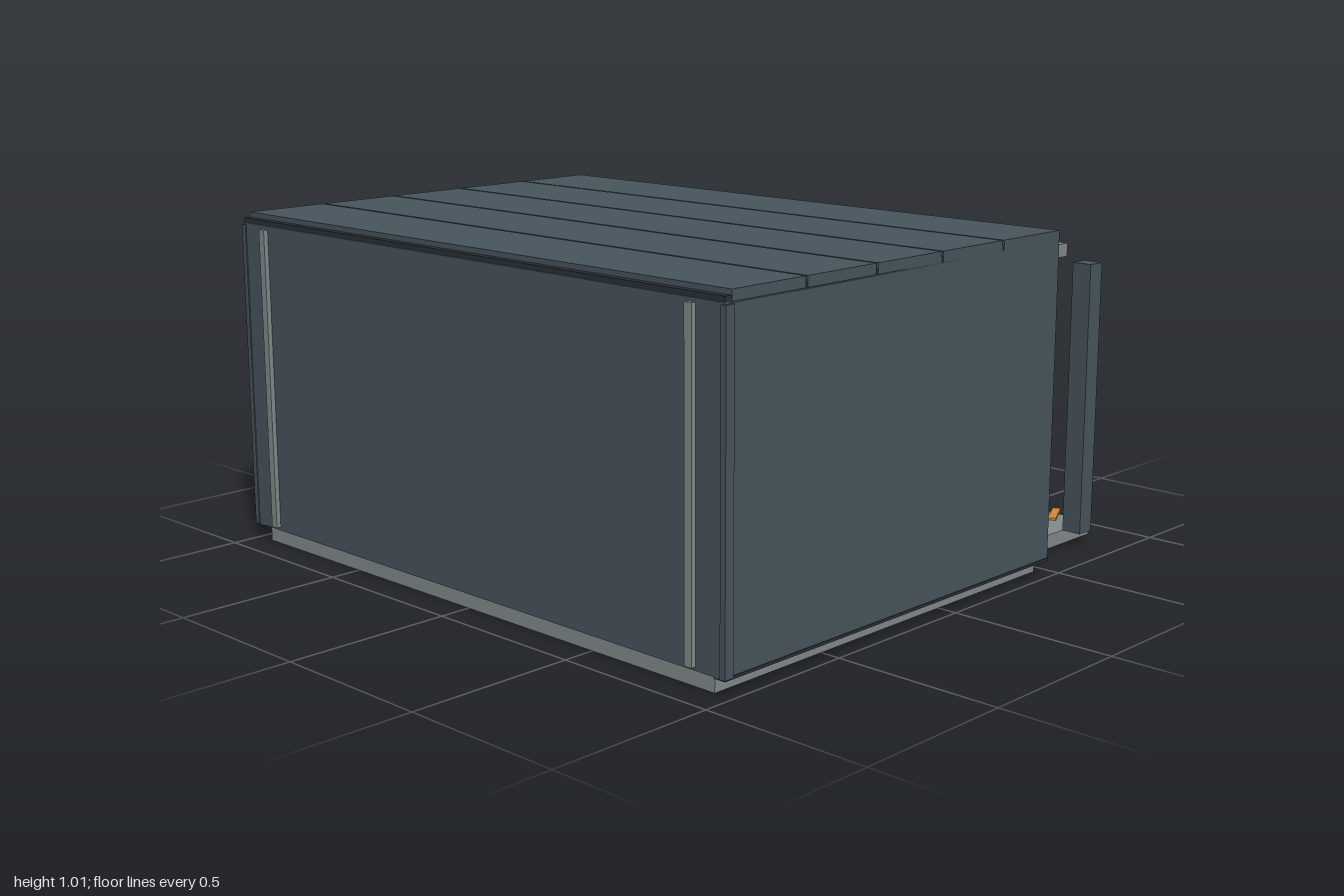
import * as THREE from 'three';

const mat = (name, color) => {
  const m = new THREE.MeshStandardMaterial({ color });
  m.name = name;
  return m;
};

export function createModel() {
  const wall = mat('slate panel', 0x47555d);
  const grey = mat('concrete grey', 0x838a8c);
  const dark = mat('dark metal', 0x2a3136);
  const orange = mat('safety orange', 0xd18c34);
  const root = new THREE.Group();

  // Box given by its extents along each axis
  const box = (name, m, [x0, x1], [y0, y1], [z0, z1], parent = root) => {
    const mesh = new THREE.Mesh(new THREE.BoxGeometry(x1 - x0, y1 - y0, z1 - z0), m);
    mesh.position.set((x0 + x1) / 2, (y0 + y1) / 2, (z0 + z1) / 2);
    mesh.name = name;
    parent.add(mesh);
    return mesh;
  };
  // The same box on both sides of x = 0
  const pair = (name, m, [x0, x1], y, z) => {
    box(name + 'Left', m, [x0, x1], y, z);
    box(name + 'Right', m, [-x1, -x0], y, z);
  };

  // Floor slab and apron
  box('floorSlab', grey, [-0.94, 0.94], [0.005, 0.05], [-0.46, 0.905]);
  box('apron', grey, [-0.84, 0.84], [0.005, 0.048], [-0.9, -0.46]);

  // Walls with edge trims
  pair('sideWall', wall, [0.95, 0.985], [0.055, 0.99], [-0.46, 0.905]);
  box('frontWall', wall, [-0.985, 0.985], [0.055, 0.99], [0.905, 0.922]);
  pair('cornerTrim', wall, [0.975, 0.993], [0.055, 0.985], [0.895, 0.925]);
  pair('sideSill', dark, [0.95, 0.988], [0.05, 0.058], [-0.46, 0.92]);
  pair('frontStrip', grey, [0.865, 0.89], [0.065, 0.98], [0.92, 0.936]);

  // Roof: five panels over dark seams, with ribs below
  box('roofDeck', dark, [-0.985, 0.985], [0.985, 1.005], [-0.46, 0.92]);
  const step = 0.2725;
  for (let i = 0; i < 5; i++) {
    const z = -0.46 + i * step;
    box('roofPanel', wall, [-0.987, 0.987], [0.99, 1.02], [z + 0.004, z + step - 0.004]);
    if (i > 0) {
      box('ceilingRib', wall, [-0.95, 0.95], [0.955, 0.986], [z - 0.015, z + 0.015]);
      pair('wallRib', wall, [0.93, 0.951], [0.05, 0.96], [z - 0.01, z + 0.01]);
    }
  }

  // Dark lining inside the hall
  pair('wallLining', dark, [0.944, 0.951], [0.05, 0.985], [-0.44, 0.9]);
  box('frontLining', dark, [-0.95, 0.95], [0.05, 0.985], [0.897, 0.906]);

  // Frame around the opening
  pair('openingPost', wall, [0.89, 0.975], [0.05, 0.97], [-0.47, -0.43]);
  box('openingLintel', wall, [-0.975, 0.975], [0.925, 0.985], [-0.468, -0.43]);

  // Orange guide rails on walls and ceiling
  pair('wallBaseStrip', orange, [0.922, 0.935], [0.052, 0.07], [-0.4, 0.88]);
  pair('wallRail', orange, [0.918, 0.932], [0.69, 0.705], [-0.4, 0.4]);
  pair('ceilingRail', orange, [0.5, 0.515], [0.885, 0.9], [-0.41, 0.2]);

  // Floor markings
  pair('guideLine', orange, [0.163, 0.177], [0.049, 0.056], [-0.545, 0.7]);
  pair('bayEdge', dark, [0.567, 0.573], [0.049, 0.053], [-0.42, 0.75]);
  for (let i = 0; i < 9; i++) {
    const z = -0.4 + i * 0.14;
    box('centreRung', dark, [-0.16, 0.16], [0.049, 0.053], [z, z + 0.006]);
    pair('bayRung', dark, [0.57, 0.87], [0.049, 0.053], [z, z + 0.006]);
  }

  // Gate columns and bollard posts
  pair('gateColumn', wall, [0.845, 0.907], [0.05, 0.88], [-0.808, -0.748]);
  pair('columnStrip', orange, [0.868, 0.882], [0.06, 0.84], [-0.816, -0.807]);
  pair('bollard', wall, [0.713, 0.778], [0.05, 0.628], [-0.563, -0.488]);
  pair('bollardPanel', orange, [0.727, 0.763], [0.27, 0.38], [-0.571, -0.562]);

  // Segmented overhead beam with a sign plate
  for (let i = 0; i < 5; i++) {
    const x = -0.785 + i * 0.314;
    box('beamSegment', grey, [x + 0.003, x + 0.311], [0.885, 0.925], [-0.81, -0.748]);
  }
  box('signPlate', dark, [-0.24, 0.24], [0.873, 0.933], [-0.748, -0.734]);

  // Slanted hazard bars on the apron edge
  for (const s of [-1, 1]) {
    for (let i = 0; i < 3; i++) {
      const bar = box('hazardBar', orange, [-0.0125, 0.0125], [0.046, 0.055], [-0.06, 0.06]);
      bar.position.x = s * (0.617 + i * 0.055);
      bar.position.z = -0.878;
      bar.rotation.y = s * 0.47;
    }
  }

  // Segmented ring standing near the front wall
  const ring = new THREE.Group();
  ring.name = 'ringStand';
  ring.position.set(0.45, 0.48, 0.8);
  root.add(ring);
  for (const [r, t, m] of [[0.36, 0.035, wall], [0.28, 0.015, dark]]) {
    const torus = new THREE.Mesh(new THREE.TorusGeometry(r, t, 8, 40), m);
    torus.name = 'ringBand';
    ring.add(torus);
  }
  for (let i = 0; i < 16; i++) {
    const a = (i / 16) * Math.PI * 2;
    const block = box('ringBlock', dark, [-0.06, 0.06], [-0.012, 0.012], [-0.035, 0.035], ring);
    block.position.set(0.33 * Math.cos(a), 0.33 * Math.sin(a), 0);
    block.rotation.z = a;
  }
  box('ringBase', dark, [0.15, 0.75], [0.05, 0.08], [0.72, 0.88]);
  for (const x of [0.26, 0.64]) {
    box('ringClamp', orange, [x - 0.05, x + 0.05], [0.08, 0.14], [0.75, 0.84]);
  }

  // Shelf unit on the right side of the hall
  for (const y of [0.08, 0.22, 0.36]) {
    box('shelf', dark, [-0.65, -0.4], [y, y + 0.025], [0.1, 0.4]);
  }
  for (const z of [0.1, 0.38]) box('shelfPost', wall, [-0.65, -0.63], [0.05, 0.4], [z, z + 0.02]);
  box('shelfCrate', orange, [-0.55, -0.48], [0.245, 0.29], [0.14, 0.2]);

  return root;
}
